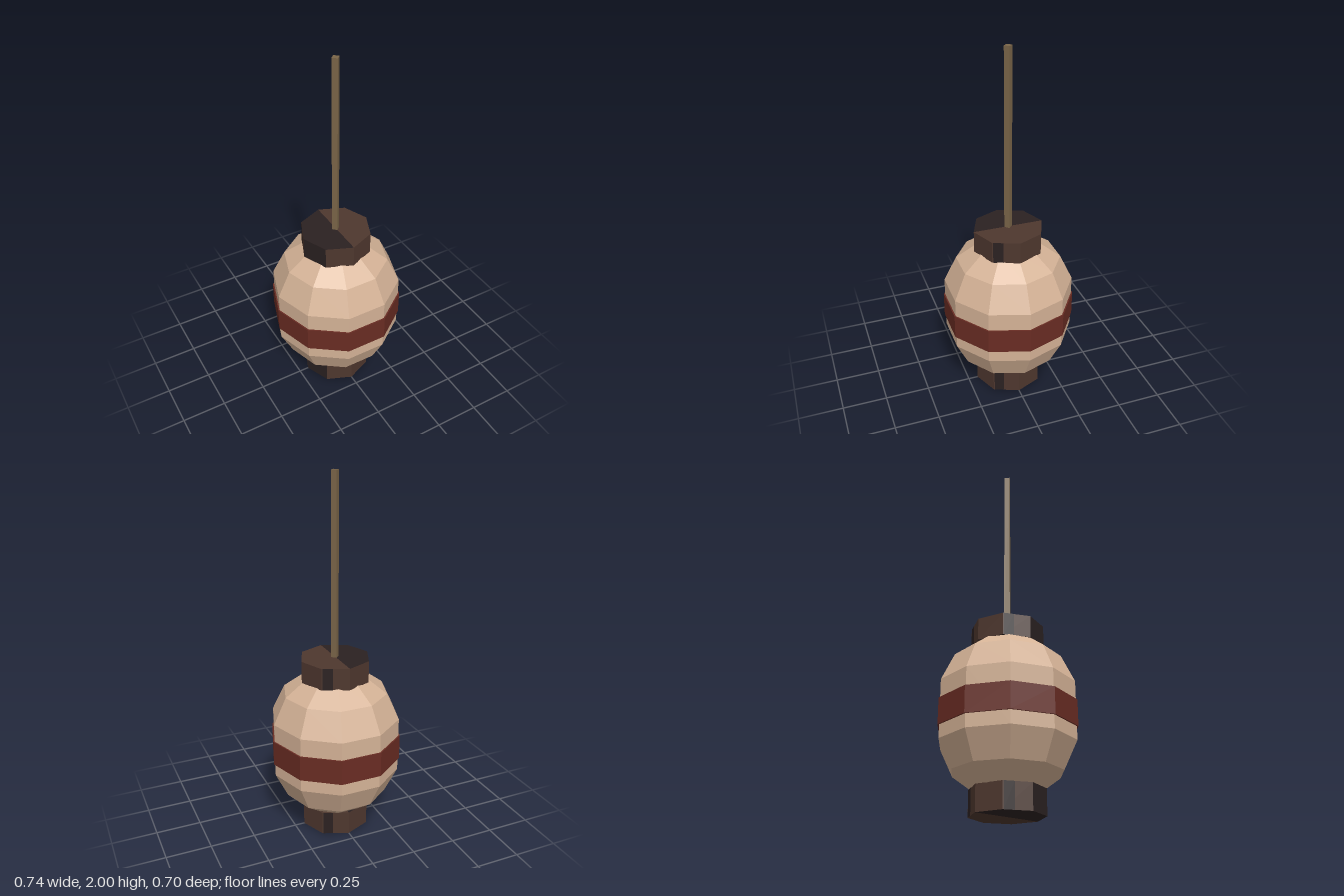
import * as THREE from 'three';

const mat = (name, color) => {
  const m = new THREE.MeshStandardMaterial({ color, flatShading: true });
  m.name = name;
  return m;
};

export function createModel() {
  const paper = mat('paper', 0xd4b296);
  const red = mat('red band', 0x692c23);
  const wood = mat('dark wood', 0x4e372e);
  const black = mat('blackened wood', 0x2b2121);
  const pole = mat('pole wood', 0x7a6548);

  const model = new THREE.Group();
  model.name = 'lantern';
  const add = (parent, name, geometry, material, y = 0) => {
    const mesh = new THREE.Mesh(geometry, material);
    mesh.name = name;
    mesh.position.y = y;
    parent.add(mesh);
    return mesh;
  };

  // Ten-sided rounded paper body
  const profile = [[0.15, 0.11], [0.29, 0.213], [0.36, 0.358], [0.36, 0.668], [0.29, 0.815], [0.15, 0.918]]
    .map(([r, y]) => new THREE.Vector2(r, y));
  add(model, 'body', new THREE.LatheGeometry(profile, 10, Math.PI / 2), paper);

  // Band around the middle
  add(model, 'band', new THREE.CylinderGeometry(0.368, 0.368, 0.14, 10, 1, false, Math.PI / 2), red, 0.498);

  // Octagonal end caps, half blackened on their flat ends
  const R = 0.195;
  const makeCap = (name, y0, y1) => {
    const cap = new THREE.Group();
    cap.name = name;
    cap.position.y = (y0 + y1) / 2;
    const h = y1 - y0;
    const geo = new THREE.CylinderGeometry(R, R, h, 8);
    geo.clearGroups();
    [[0, 36, 0], [36, 6, 1], [42, 18, 0], [60, 12, 1], [72, 12, 0], [84, 12, 1]]
      .forEach(([start, count, m]) => geo.addGroup(start, count, m));
    add(cap, name + 'Block', geo, [wood, black]);

    // Narrow dark strips on alternate sides
    const side = 2 * R * Math.sin(Math.PI / 8);
    const apothem = R * Math.cos(Math.PI / 8);
    for (const i of [1, 3, 5]) {
      const turn = new THREE.Group();
      turn.name = name + 'StripHolder';
      turn.rotation.y = (i + 0.5) * Math.PI / 4;
      const strip = add(turn, name + 'Strip', new THREE.PlaneGeometry(side * 0.36, h), black);
      strip.position.set(-side * 0.28, 0, apothem + 0.001);
      cap.add(turn);
    }
    model.add(cap);
  };
  makeCap('bottomCap', 0, 0.135);
  makeCap('topCap', 0.888, 1.01);

  // Square hanging pole
  add(model, 'pole', new THREE.CylinderGeometry(0.022, 0.022, 1, 4), pole, 1.5);

  return model;
}
